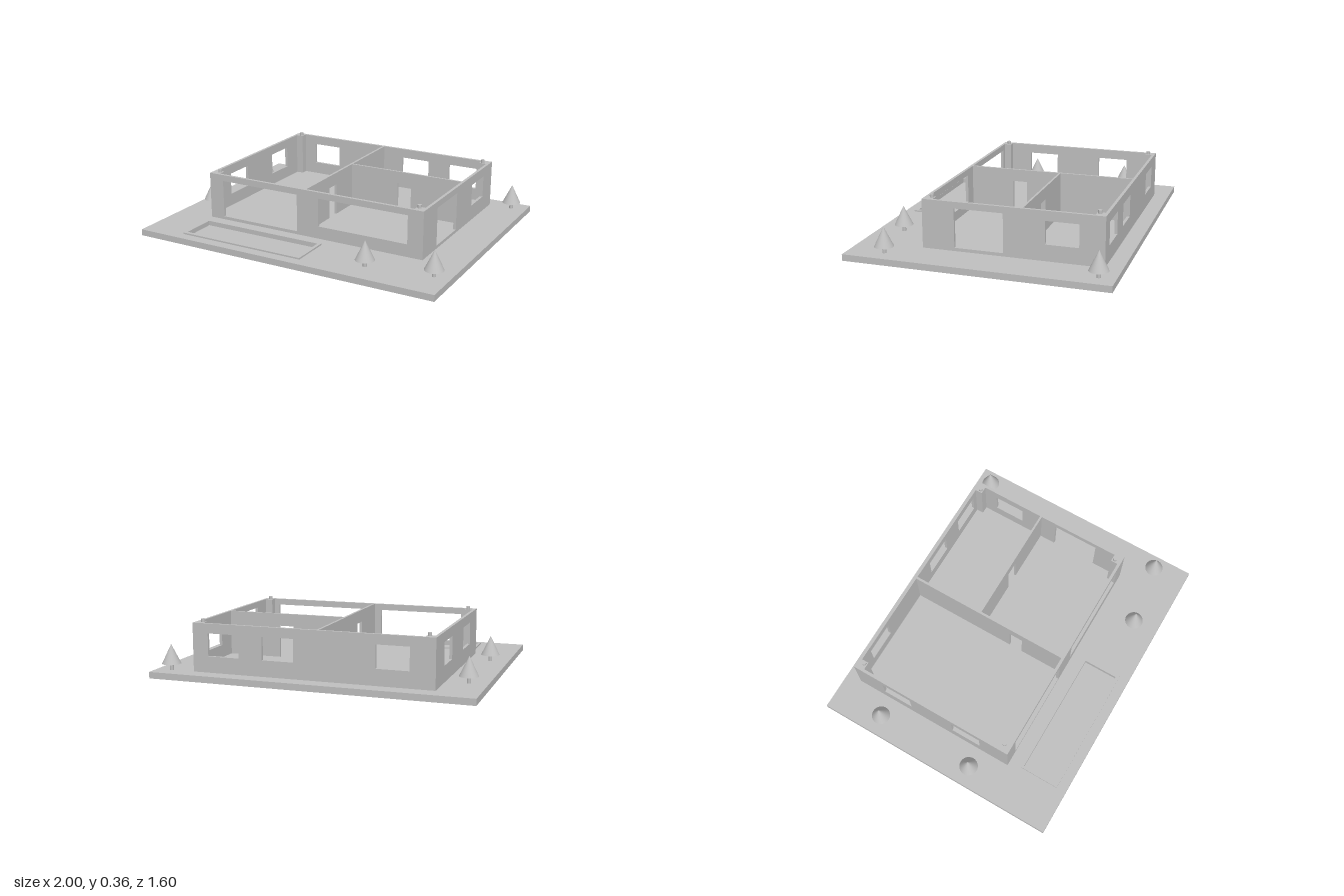
import * as THREE from 'three';

const grey = new THREE.MeshStandardMaterial({ color: 0xbfbfbf });
grey.name = 'plainGrey';

function add(group, name, geometry, x = 0, y = 0, z = 0) {
  const mesh = new THREE.Mesh(geometry, grey);
  mesh.name = name;
  mesh.position.set(x, y, z);
  group.add(mesh);
  return mesh;
}

// Rectangle with rectangular holes, each given as [u0, u1, v0, v1], extruded
function plate([u0, u1, v0, v1], holes, depth) {
  const corners = (a, b, c, d) => [[a, c], [b, c], [b, d], [a, d]].map(p => new THREE.Vector2(...p));
  const shape = new THREE.Shape(corners(u0, u1, v0, v1));
  for (const h of holes) shape.holes.push(new THREE.Path(corners(...h).reverse()));
  return new THREE.ExtrudeGeometry(shape, { depth, bevelEnabled: false });
}

export function createModel() {
  const model = new THREE.Group();
  model.name = 'housePlan';
  const ground = 0.04, floor = 0.06, top = 0.34, t = 0.018;

  // Horizontal plates: the plane's v axis becomes -z
  const flat = (name, rect, holes, depth, y) => {
    const flip = ([a, b, c, d]) => [a, b, -d, -c];
    const geometry = plate(flip(rect), holes.map(flip), depth);
    geometry.rotateX(-Math.PI / 2);
    add(model, name, geometry, 0, y, 0);
  };
  // Walls along x start at z; walls along z end at x
  const wallX = (name, z, a, b, holes, depth = t) =>
    add(model, name, plate([a, b, ground, top], holes, depth), 0, 0, z);
  const wallZ = (name, x, a, b, holes, depth = t) => {
    add(model, name, plate([a, b, ground, top], holes, depth), x, 0, 0).rotation.y = -Math.PI / 2;
  };

  // Plot with a shallow pool and its rim
  const basin = [-0.704, 0.1, 0.494, 0.715];
  flat('plot', [-1, 1, -0.8, 0.8], [basin], ground, 0);
  flat('poolRim', [-0.72, 0.12, 0.48, 0.737], [basin], 0.01, ground);
  flat('poolBottom', basin, [], 0.02, 0);
  flat('houseFloor', [-0.74, 0.74, -0.69, 0.39], [], floor - ground, ground);

  // Outer walls
  const win = (a, b) => [a, b, 0.14, 0.28];
  wallX('frontWall', 0.4 - t, -0.75, 0.75, [[-0.65, -0.1, floor, 0.3], [0.05, 0.65, 0.12, 0.3]]);
  wallX('backWall', -0.7, -0.75, 0.75, [win(-0.6, -0.4), win(0.1, 0.3), win(0.45, 0.65)]);
  wallZ('leftWall', 0.75, -0.7 + t, 0.4 - t, [[-0.1, 0.2, floor, 0.3], win(-0.55, -0.35)]);
  wallZ('rightWall', -0.75 + t, -0.7 + t, 0.4 - t, [win(-0.5, -0.3), win(0, 0.2)]);

  // Partitions with doorways
  wallZ('longPartition', -0.04, -0.7 + t, 0.4 - t, [[0.01, 0.1, floor, 0.262]], 0.015);
  wallX('crossPartition', -0.217, -0.04, 0.75 - t, [[0.295, 0.39, floor, 0.262]], 0.013);

  // Corner pillars with round pegs on top
  for (const x of [-0.705, 0.705]) {
    for (const z of [-0.66, 0.36]) {
      const sx = Math.sign(x), sz = Math.sign(z);
      add(model, 'cornerPillar', new THREE.BoxGeometry(0.05, top - ground, 0.05),
        sx * 0.709, (top + ground) / 2, z + sz * 0.001);
      add(model, 'pillarPeg', new THREE.CylinderGeometry(0.012, 0.012, 0.02, 24), sx * 0.702, top + 0.01, z - sz * 0.006);
    }
  }

  // Trees
  for (const [x, z] of [[-0.885, -0.453], [-0.885, 0.198], [0.9, -0.7], [0.9, 0.577], [0.497, 0.637]]) {
    const tree = new THREE.Group();
    tree.name = 'tree';
    tree.position.set(x, ground, z);
    add(tree, 'trunk', new THREE.CylinderGeometry(0.012, 0.012, 0.04, 20), 0, 0.02, 0);
    add(tree, 'crown', new THREE.ConeGeometry(0.058, 0.12, 32), 0, 0.1, 0);
    model.add(tree);
  }
  return model;
}
